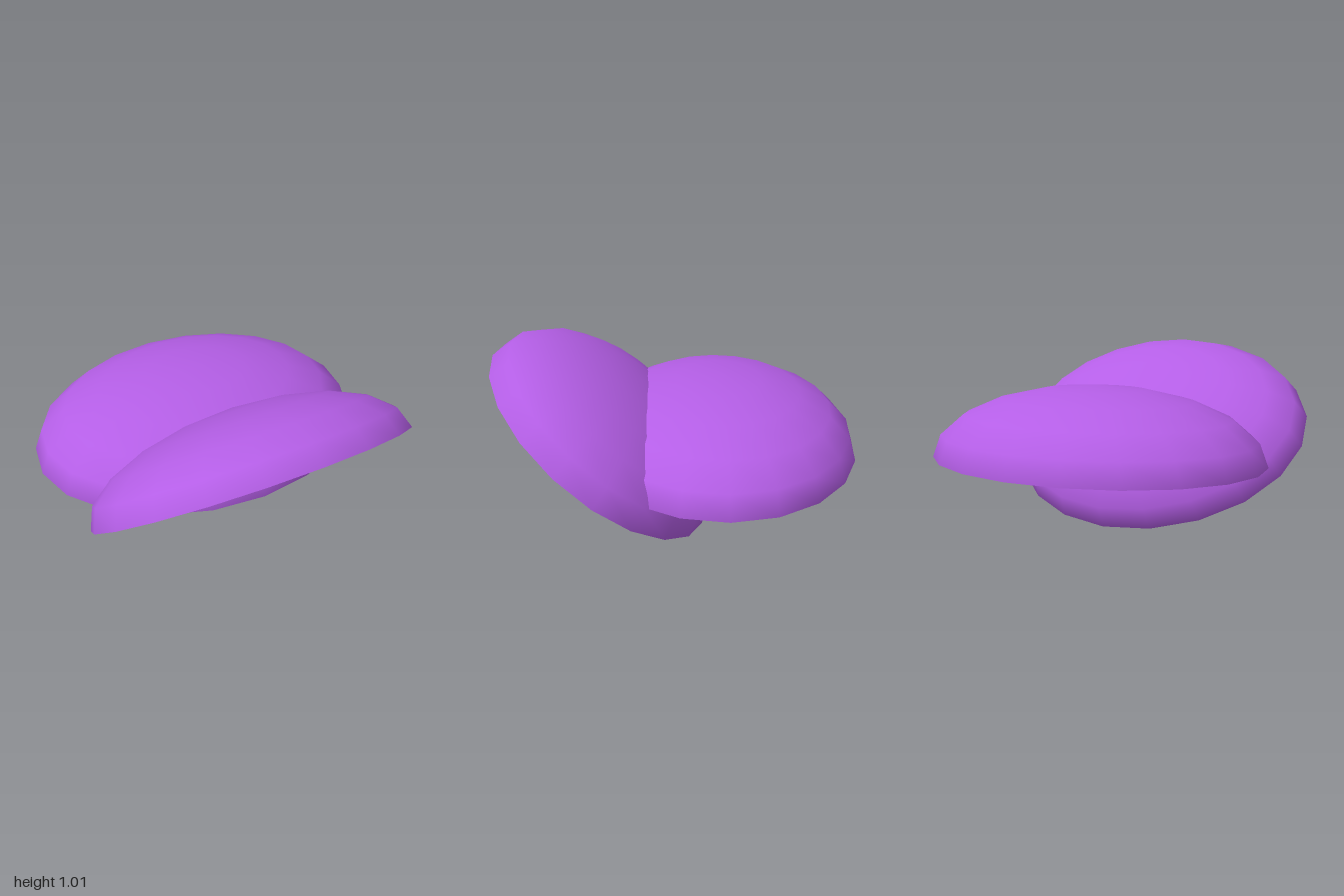
import * as THREE from 'three';

const shellPurple = new THREE.MeshStandardMaterial({ color: 0xb45ee6, side: THREE.DoubleSide });
shellPurple.name = 'shell purple';
const liningPink = new THREE.MeshStandardMaterial({ color: 0xc87aa2, side: THREE.DoubleSide });
liningPink.name = 'lining pink';
const pearlWhite = new THREE.MeshStandardMaterial({ color: 0xe6d3e5 });
pearlWhite.name = 'pearl white';

// Open half-ellipsoid with its rim on y = 0
function dome(name, [rx, ry, rz], [sides, rings], material) {
  const geometry = new THREE.SphereGeometry(1, sides, rings, 0, Math.PI * 2, 0, Math.PI / 2);
  geometry.scale(rx, ry, rz);
  const mesh = new THREE.Mesh(geometry, material);
  mesh.name = name;
  return mesh;
}

export function createModel() {
  const model = new THREE.Group();
  model.name = 'clam';

  // Level rear shell
  const rearShell = dome('rearShell', [0.957, 0.397, 0.765], [20, 5], shellPurple);
  rearShell.position.set(0, 0.4, -0.235);

  // Front shell, tipped open
  const frontShell = dome('frontShell', [0.926, 0.385, 0.741], [20, 5], shellPurple);
  frontShell.position.set(0, 0.458, 0.417);
  frontShell.rotation.x = -0.666;

  // Soft lining, set slightly inside the rear shell
  const lining = dome('lining', [0.76, 0.2, 0.605], [16, 4], liningPink);
  lining.position.set(0, 0.414, -0.235);

  // Pearl
  const pearl = new THREE.Mesh(new THREE.SphereGeometry(0.158, 8, 6), pearlWhite);
  pearl.name = 'pearl';
  pearl.position.set(0, 0.505, -0.31);

  model.add(rearShell, frontShell, lining, pearl);
  return model;
}
